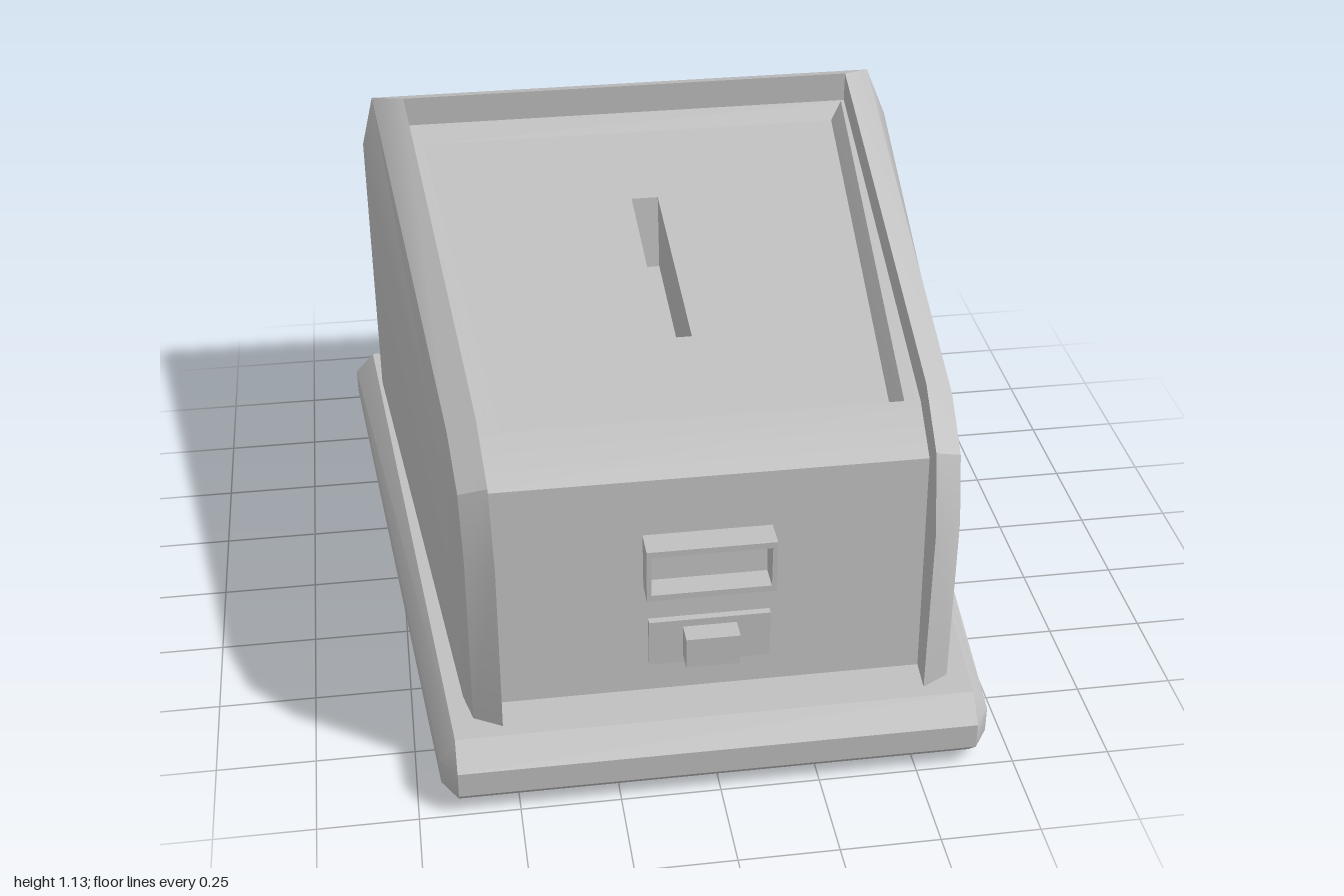
import * as THREE from 'three';
import { toCreasedNormals } from 'three/addons/utils/BufferGeometryUtils.js';

// Collects quads and turns them into a geometry with sharp creases
class Quads {
  constructor() { this.pos = []; }
  tri(a, b, c) {
    const [A, B, C] = [a, b, c].map(p => new THREE.Vector3(...p));
    if (B.clone().sub(A).cross(C.clone().sub(A)).length() > 1e-7) this.pos.push(...a, ...b, ...c);
  }
  quad(a, b, c, d) { this.tri(a, b, c); this.tri(a, c, d); }
  // band between two rows of points
  strip(A, B) { for (let i = 0; i + 1 < A.length; i++) this.quad(A[i], A[i + 1], B[i + 1], B[i]); }
  // closed loops, counter-clockwise from above
  loft(loops) {
    for (let k = 0; k + 1 < loops.length; k++) {
      const [A, B] = [loops[k], loops[k + 1]];
      this.strip([...A, A[0]], [...B, B[0]]);
    }
    const top = loops[loops.length - 1], low = loops[0];
    for (let i = 1; i + 1 < top.length; i++) {
      this.tri(top[0], top[i], top[i + 1]);
      this.tri(low[0], low[i + 1], low[i]);
    }
  }
  // add the copy on the other side of x = 0
  mirror() {
    const p = this.pos, n = p.length;
    for (let i = 0; i < n; i += 9)
      for (const k of [0, 6, 3]) p.push(-p[i + k], p[i + k + 1], p[i + k + 2]);
  }
  geometry() {
    const g = new THREE.BufferGeometry();
    g.setAttribute('position', new THREE.Float32BufferAttribute(this.pos, 3));
    return toCreasedNormals(g, 0.6);
  }
}

const FLOOR = 0.19;
const innerX = z => 0.53 + (0.905 - z) * 0.0716;
const creaseX = z => 0.60 + (0.865 - z) * 0.081;
const outerX = z => 0.62 + (0.78 - z) * 0.1;

// Bevelled tapered foot
function baseGeometry() {
  const loop = (y, pts) => [...pts.map(([x, z]) => [x, y, z]), ...pts.map(([x, z]) => [-x, y, z]).reverse()];
  const full = [[0.65, 1], [0.69, 0.94], [0.855, -0.945], [0.8, -1]];
  const inset = [[0.65, 0.94], [0.65, 0.94], [0.8, -0.945], [0.8, -0.945]];
  const q = new Quads();
  q.loft([loop(0, inset), loop(0.06, full), loop(0.13, full), loop(FLOOR, inset)]);
  return q.geometry();
}

// Side and back walls with a bevelled rim
function shellGeometry() {
  const row = (xAt, pts) => pts.map(([z, y]) => [xAt(z), y, z]);
  const outer = row(outerX, [[0.78, FLOOR], [0.78, 0.64], [0.74, 0.76], [0.62, 0.81], [-0.77, 1.0]]);
  const crease = row(creaseX, [[0.865, FLOOR], [0.865, 0.66], [0.81, 0.82], [0.66, 0.9], [-0.87, 1.1]]);
  const rim = row(innerX, [[0.905, FLOOR], [0.905, 0.66], [0.84, 0.85], [0.67, 0.94], [-0.77, 1.135]]);
  const inside = row(innerX, [[0.75, FLOOR], [0.75, 0.62], [0.72, 0.72], [0.6, 0.78], [-0.77, 0.95]]);
  const toMiddle = p => [p, [0, p[1], p[2]]];
  const ground = p => [p[0], FLOOR, p[2]];
  const backOuter = toMiddle([0.65, 1.02, -0.905]);
  const backCrease = toMiddle(crease[4]);
  const q = new Quads();
  // side wall
  q.strip(outer.map(ground), outer);
  q.strip(outer, crease);
  q.strip(crease, rim);
  q.strip(rim, inside);
  // back corner and back wall
  const upright = [outer[4], crease[4], ...backOuter];
  q.strip(upright.map(ground), upright);
  q.strip(backOuter, backCrease);
  q.strip(backCrease, toMiddle(rim[4]));
  q.strip(toMiddle(rim[4]), toMiddle(inside[4]));
  q.mirror();
  return q.geometry();
}

// Front panel, sloping lid, recessed tray and slot as nested loops
function lidGeometry() {
  const loop = (fx, fy, fz, bx, by, bz) => [[fx, fy, fz], [bx, by, bz], [-bx, by, bz], [-fx, fy, fz]];
  const slope = (z, drop) => 0.86 + 0.137 * (0.62 - z) - drop;
  const level = (fx, fz, bx, bz, drop) => loop(fx, slope(fz, drop), fz, bx, slope(bz, drop), bz);
  const bx = innerX(-0.77);
  const q = new Quads();
  q.loft([
    loop(innerX(0.815), FLOOR, 0.815, bx, FLOOR, -0.77),
    loop(innerX(0.77), 0.79, 0.77, bx, 0.95, -0.77),
    level(innerX(0.62), 0.62, bx, -0.77, 0),
    level(0.51, 0.615, 0.64, -0.765, 0),
    level(0.485, 0.57, 0.605, -0.73, 0.04),
    level(0.037, 0.245, 0.037, -0.39, 0.04),
    level(0.037, 0.195, 0.037, -0.36, 0.24),
  ]);
  return q.geometry();
}

// Rectangular frame with a window
function frameGeometry() {
  const rect = (Type, w, h) => new Type([[-w, -h], [w, -h], [w, h], [-w, h]].map(p => new THREE.Vector2(...p)));
  const shape = rect(THREE.Shape, 0.16, 0.0725);
  shape.holes.push(rect(THREE.Path, 0.148, 0.056));
  return new THREE.ExtrudeGeometry(shape, { depth: 0.095, bevelEnabled: false });
}

export function createModel() {
  const group = new THREE.Group();
  const grey = new THREE.MeshStandardMaterial({ color: 0xc0c0c0, side: THREE.DoubleSide });
  grey.name = 'plain grey';
  const add = (name, geometry, x = 0, y = 0, z = 0) => {
    const mesh = new THREE.Mesh(geometry, grey);
    mesh.name = name;
    mesh.position.set(x, y, z);
    group.add(mesh);
  };
  add('base', baseGeometry());
  add('shellWalls', shellGeometry());
  add('slopedLidWithSlot', lidGeometry());
  // front fittings
  add('labelFrame', frameGeometry(), -0.005, 0.5675, 0.76);
  add('latchPlate', new THREE.BoxGeometry(0.305, 0.13, 0.04), -0.0025, 0.335, 0.798);
  add('latchButton', new THREE.BoxGeometry(0.135, 0.085, 0.08), -0.0025, 0.3375, 0.833);
  return group;
}
